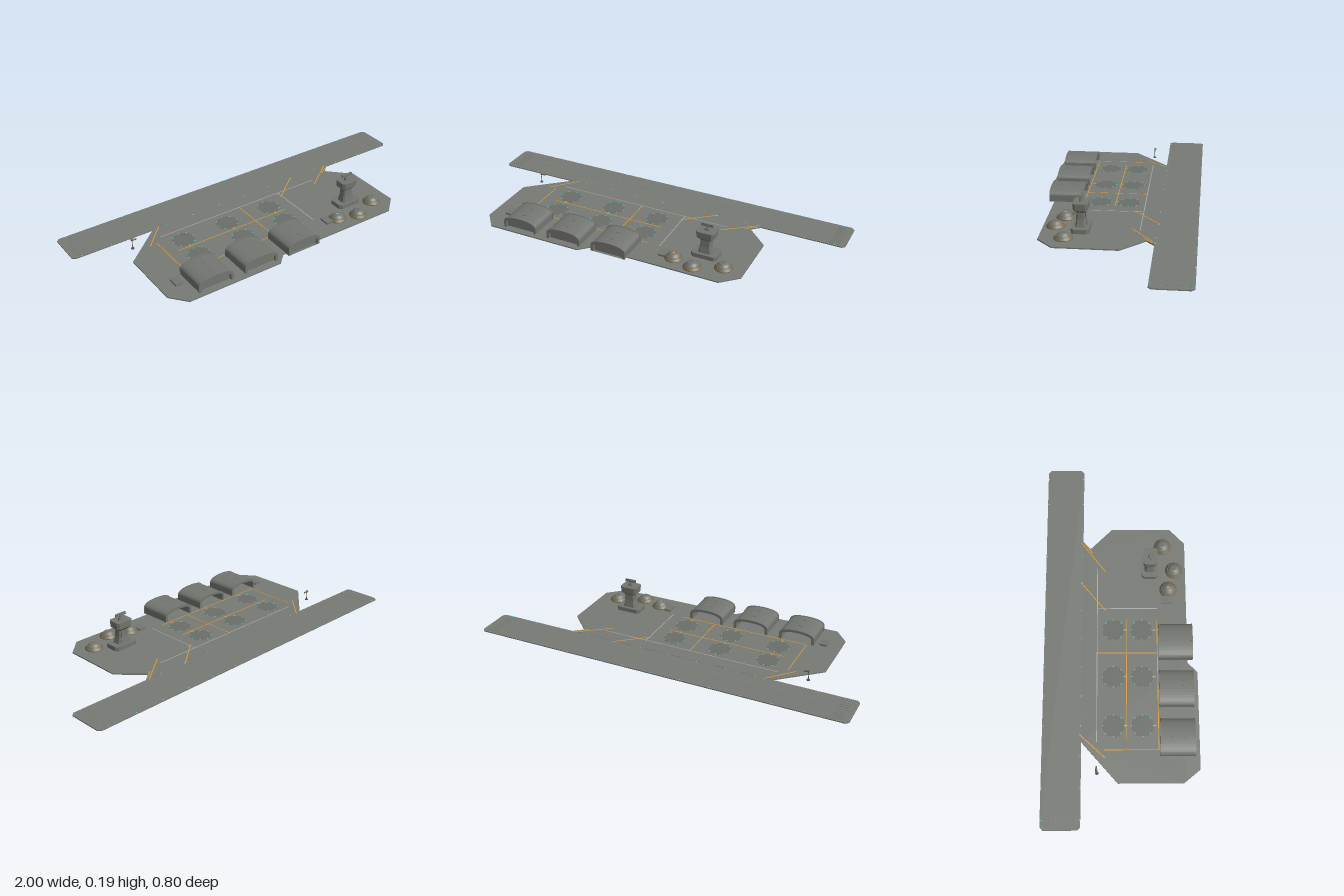
import * as THREE from 'three';

const paint = (name, color) => {
  const m = new THREE.MeshStandardMaterial({ color });
  m.name = name;
  return m;
};

export function createModel() {
  const root = new THREE.Group();
  root.name = 'airBase';
  const concrete = paint('concrete', 0x777a74);
  const building = paint('buildingGrey', 0x737670);
  const padGrey = paint('padGrey', 0x6b6e68);
  const dark = paint('darkGrey', 0x50534e);
  const paleLine = paint('paleLine', 0xa9aca6);
  const orange = paint('orangeLine', 0xd99a38);
  const cyan = paint('cyanLight', 0x50ece2);
  const brown = paint('earthBrown', 0x776b52);

  const add = (name, geo, mat, x = 0, y = 0, z = 0, parent = root) => {
    const m = new THREE.Mesh(geo, mat);
    m.name = name;
    m.position.set(x, y, z);
    parent.add(m);
    return m;
  };
  const box = (name, w, h, d, mat, x, y, z, parent) =>
    add(name, new THREE.BoxGeometry(w, h, d), mat, x, y + h / 2, z, parent);
  const cyl = (name, rt, rb, h, n, mat, x, y, z, parent) =>
    add(name, new THREE.CylinderGeometry(rt, rb, h, n), mat, x, y + h / 2, z, parent);
  // Flat slab geometry from (x, z) corners
  const slabGeo = (pts, h) => {
    const s = new THREE.Shape(pts.map(([x, z]) => new THREE.Vector2(x, -z)));
    return new THREE.ExtrudeGeometry(s, { depth: h, bevelEnabled: false }).rotateX(-Math.PI / 2);
  };
  // Rectangle with cut corners, half sizes w and d
  const cutRect = (w, d, c) => [[-w, -d + c], [-w + c, -d], [w - c, -d], [w, -d + c],
    [w, d - c], [w - c, d], [-w + c, d], [-w, d - c]];
  // Thin painted line between two ground points
  const line = (name, x1, z1, x2, z2, mat, w) => {
    const m = box(name, Math.hypot(x2 - x1, z2 - z1), 0.0006, w, mat, (x1 + x2) / 2, 0.006, (z1 + z2) / 2);
    m.rotation.y = -Math.atan2(z2 - z1, x2 - x1);
  };

  // Runway and apron
  add('runway', slabGeo(cutRect(1, 0.1, 0.015), 0.005), concrete, 0, 0, -0.3);
  add('apron', slabGeo([[-0.77, -0.015], [-0.56, -0.2], [0.56, -0.2], [0.515, -0.16], [0.63, -0.045], [0.63, 0.27],
    [0.545, 0.35], [-0.14, 0.35], [-0.19, 0.4], [-0.7, 0.4], [-0.77, 0.315]], 0.006), concrete);

  // Runway edge lights, centre dashes and threshold bars
  for (let i = 0; i < 13; i++) {
    const x = -0.95 + i * 0.158;
    for (const z of [-0.396, -0.204]) box('runwayLight', 0.005, 0.002, 0.005, cyan, x, 0.0045, z);
    box('centreDash', 0.06, 0.0005, 0.003, concrete, x, 0.005, -0.3);
  }
  for (const s of [-1, 1]) for (let i = 0; i < 9; i++)
    box('thresholdBar', 0.05, 0.001, 0.007, concrete, s * 0.94, 0.005, -0.38 + i * 0.02);

  // Taxiway, parking and service road lines
  for (const [x1, z1, x2, z2] of [[-0.52, -0.21, -0.64, -0.08], [0.315, -0.21, 0.155, -0.08],
    [0.55, -0.21, 0.38, -0.08], [0.545, -0.19, 0.49, -0.15]]) line('taxiwayLine', x1, z1, x2, z2, orange, 0.005);
  for (const [x1, z1, x2, z2] of [[-0.545, 0.031, 0.1, 0.031], [-0.6, 0.193, 0.1, 0.193],
    [-0.085, -0.12, -0.085, 0.193], [-0.6, -0.085, -0.6, 0.193]]) line('parkingLine', x1, z1, x2, z2, orange, 0.004);
  line('serviceRoadLine', -0.56, -0.122, 0.4, -0.122, paleLine, 0.004);
  line('serviceRoadLine', 0.165, -0.122, 0.165, 0.195, paleLine, 0.004);

  // Landing pads with lights and bay marks
  for (const x of [-0.475, -0.215, 0.043]) for (const z of [-0.037, 0.112]) {
    cyl('landingPad', 0.058, 0.058, 0.0006, 32, padGrey, x, 0.006, z);
    for (let i = 0; i < 8; i++) {
      const a = (i * Math.PI) / 4;
      box('padLight', 0.005, 0.002, 0.005, cyan, x + 0.056 * Math.cos(a), 0.006, z + 0.056 * Math.sin(a));
    }
    box('padMark', 0.012, 0.0008, 0.004, orange, x, 0.0064, z + 0.062);
    box('padMark', 0.004, 0.0008, 0.01, orange, x, 0.0064, z + 0.068);
  }

  // Hangars: arched shell, open at the back, recessed wall at the front
  const arch = (T, w, wall, top) => {
    const p = new T();
    p.moveTo(-w, 0);
    p.lineTo(w, 0);
    p.lineTo(w, wall);
    p.bezierCurveTo(w * 0.98, top * 0.85, w * 0.6, top, 0, top);
    p.bezierCurveTo(-w * 0.6, top, -w * 0.98, top * 0.85, -w, wall);
    p.lineTo(-w, 0);
    return p;
  };
  const archGeo = (w, wall, top, depth, inset) => {
    const s = arch(THREE.Shape, w, wall, top);
    if (inset) s.holes.push(arch(THREE.Path, w - inset, wall - 0.004, top - inset));
    return new THREE.ExtrudeGeometry(s, { depth, bevelEnabled: false, curveSegments: 10 });
  };
  for (const x of [-0.54, -0.285, -0.03]) {
    const h = new THREE.Group();
    h.name = 'hangar';
    h.position.set(x, 0.004, 0.2);
    root.add(h);
    add('hangarShell', archGeo(0.093, 0.034, 0.065, 0.176, 0.012), building, 0, 0, 0, h);
    add('hangarFrontWall', archGeo(0.083, 0.031, 0.055, 0.006), building, 0, 0, 0.156, h);
    for (const z of [0, 0.17]) add('hangarEndRib', archGeo(0.095, 0.035, 0.067, 0.006, 0.014), building, 0, 0, z, h);
    for (const z of [0.06, 0.125]) box('roofVent', 0.012, 0.005, 0.006, building, 0, 0.063, z, h);
  }

  // Control tower, stacked from tapered cut-corner blocks
  const tower = new THREE.Group();
  tower.name = 'controlTower';
  tower.position.set(0.405, 0, 0.16);
  root.add(tower);
  const block = (name, w, d, y0, y1, taper = 1) => {
    const g = slabGeo(cutRect(w, d, d * 0.3), y1 - y0);
    const p = g.attributes.position;
    for (let i = 0; i < p.count; i++)
      if (p.getY(i) > (y1 - y0) / 2) p.setXYZ(i, p.getX(i) * taper, p.getY(i), p.getZ(i) * taper);
    g.computeVertexNormals();
    add(name, g, building, 0, y0, 0, tower);
  };
  block('towerBase', 0.068, 0.044, 0.005, 0.028);
  block('towerShaftFoot', 0.036, 0.028, 0.028, 0.065, 0.78);
  block('towerShaft', 0.028, 0.022, 0.065, 0.1, 0.95);
  block('cabUnderside', 0.029, 0.022, 0.1, 0.114, 1.55);
  block('cab', 0.045, 0.035, 0.114, 0.145, 1.06);
  block('cabRoof', 0.048, 0.0375, 0.145, 0.149);
  block('radarHouse', 0.014, 0.01, 0.149, 0.162, 0.75);
  cyl('radarMast', 0.004, 0.005, 0.012, 8, building, 0, 0.16, 0, tower);
  box('radarDish', 0.062, 0.014, 0.008, building, 0, 0.17, 0, tower);
  box('radarFeed', 0.02, 0.006, 0.012, building, 0, 0.174, 0, tower);
  cyl('radarCap', 0.003, 0.004, 0.003, 8, building, 0, 0.182, 0, tower);
  cyl('towerAerial', 0.001, 0.001, 0.08, 6, dark, 0.02, 0.026, -0.025, tower);

  // Domes: earth bank, collar, stepped cap and beacon
  for (const [x, z] of [[0.273, 0.257], [0.385, 0.289], [0.525, 0.23]]) {
    cyl('domeFoot', 0.046, 0.047, 0.006, 20, brown, x, 0.004, z);
    cyl('domeBank', 0.037, 0.046, 0.011, 20, brown, x, 0.01, z);
    cyl('domeCollar', 0.033, 0.035, 0.004, 20, building, x, 0.02, z);
    cyl('domeCap', 0.021, 0.032, 0.01, 20, building, x, 0.024, z);
    cyl('domeTop', 0.012, 0.021, 0.003, 20, building, x, 0.034, z);
    cyl('domeBeacon', 0.007, 0.007, 0.001, 10, x < 0.3 ? orange : brown, x, 0.0365, z);
  }

  // Utility huts
  for (const x of [-0.68, 0.213]) {
    box('utilityHut', 0.036, 0.011, 0.055, building, x, 0.005, 0.245);
    box('utilityHutRoof', 0.04, 0.002, 0.059, building, x, 0.015, 0.245);
  }

  // Windsock
  cyl('windsockBase', 0.008, 0.009, 0.004, 10, dark, -0.717, 0, -0.12);
  cyl('windsockPole', 0.0016, 0.0016, 0.052, 8, dark, -0.717, 0.003, -0.12);
  const sock = cyl('windsock', 0.0065, 0.0035, 0.028, 10, brown, -0.706, 0.036, -0.122);
  sock.rotation.z = Math.PI / 2 - 0.15;

  return root;
}
